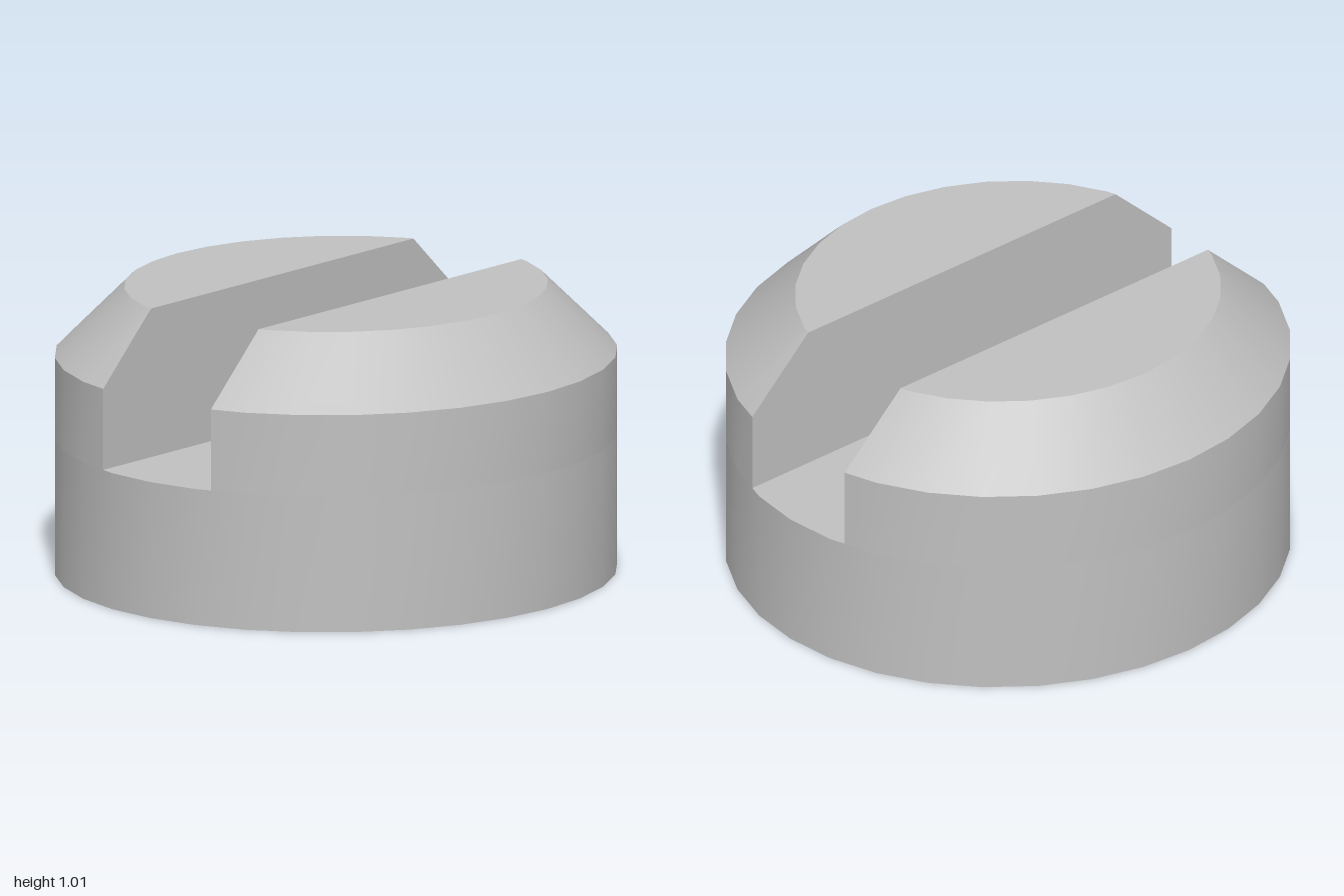
import * as THREE from 'three';
import { toCreasedNormals } from 'three/addons/utils/BufferGeometryUtils.js';

const SIDES = 32, DEPTH = 0.964;                 // slightly oval outline
const SLOT_Y = 0.485, SHOULDER_Y = 0.774, TOP_Y = 1.015;
const SLOT_Z = 0.245, TOP_SCALE = 0.753;

// Corner k of the outline at height y, scaled by s
function corner(k, y, s = 1) {
  const a = (k / SIDES) * Math.PI * 2;
  return [Math.cos(a) * s, y, Math.sin(a) * DEPTH * s];
}

// Outline of the front half, cut straight along the slot edge
function halfOutline(y, s) {
  const p = corner(1, y, s), q = corner(2, y, s);
  const t = (SLOT_Z - p[2]) / (q[2] - p[2]);
  const x = p[0] + (q[0] - p[0]) * t;
  const points = [[x, y, SLOT_Z]];
  for (let k = 2; k <= SIDES / 2 - 2; k++) points.push(corner(k, y, s));
  points.push([-x, y, SLOT_Z]);
  return points;
}

// Convex flat face, as a fan
function fan(out, pts) {
  for (let i = 1; i < pts.length - 1; i++) out.push(...pts[0], ...pts[i], ...pts[i + 1]);
}

// Wall between two outlines of equal length
function wall(out, low, high) {
  for (let i = 0; i < low.length - 1; i++) fan(out, [low[i + 1], low[i], high[i], high[i + 1]]);
}

function makeMesh(name, positions, material) {
  const g = new THREE.BufferGeometry();
  g.setAttribute('position', new THREE.Float32BufferAttribute(positions, 3));
  g.computeVertexNormals();
  const mesh = new THREE.Mesh(toCreasedNormals(g, 0.5), material);
  mesh.name = name;
  return mesh;
}

export function createModel() {
  const group = new THREE.Group();
  group.name = 'slottedScrewHead';
  const grey = new THREE.MeshStandardMaterial({ color: 0xc0c0c0 });
  grey.name = 'plain grey';

  // Round base up to the slot floor
  const base = [], low = [], high = [];
  for (let k = 0; k <= SIDES; k++) {
    low.push(corner(k % SIDES, 0));
    high.push(corner(k % SIDES, SLOT_Y));
  }
  wall(base, low, high);
  fan(base, low.slice(0, SIDES));
  group.add(makeMesh('base', base, grey));

  // Slot floor, rounded at both ends
  const cut = halfOutline(SLOT_Y, 1);
  const x = cut[0][0];
  const rim = [[x, SLOT_Y, -SLOT_Z]];
  for (const k of [-1, 0, 1]) rim.push(corner(k, SLOT_Y));
  rim.push([x, SLOT_Y, SLOT_Z], [-x, SLOT_Y, SLOT_Z]);
  for (const k of [15, 16, 17]) rim.push(corner(k, SLOT_Y));
  rim.push([-x, SLOT_Y, -SLOT_Z]);
  const floor = [];
  fan(floor, rim.reverse());
  group.add(makeMesh('slotFloor', floor, grey));

  // Raised half: side wall, chamfer, flat top and slot wall
  const shoulder = halfOutline(SHOULDER_Y, 1), top = halfOutline(TOP_Y, TOP_SCALE);
  const last = cut.length - 1;
  const half = [];
  wall(half, cut, shoulder);
  wall(half, shoulder, top);
  fan(half, [...top].reverse());
  fan(half, [cut[0], cut[last], shoulder[last], top[last], top[0], shoulder[0]]);
  const front = makeMesh('frontHalf', half, grey);
  const back = front.clone();
  back.name = 'backHalf';
  back.rotation.y = Math.PI;
  group.add(front, back);

  return group;
}
